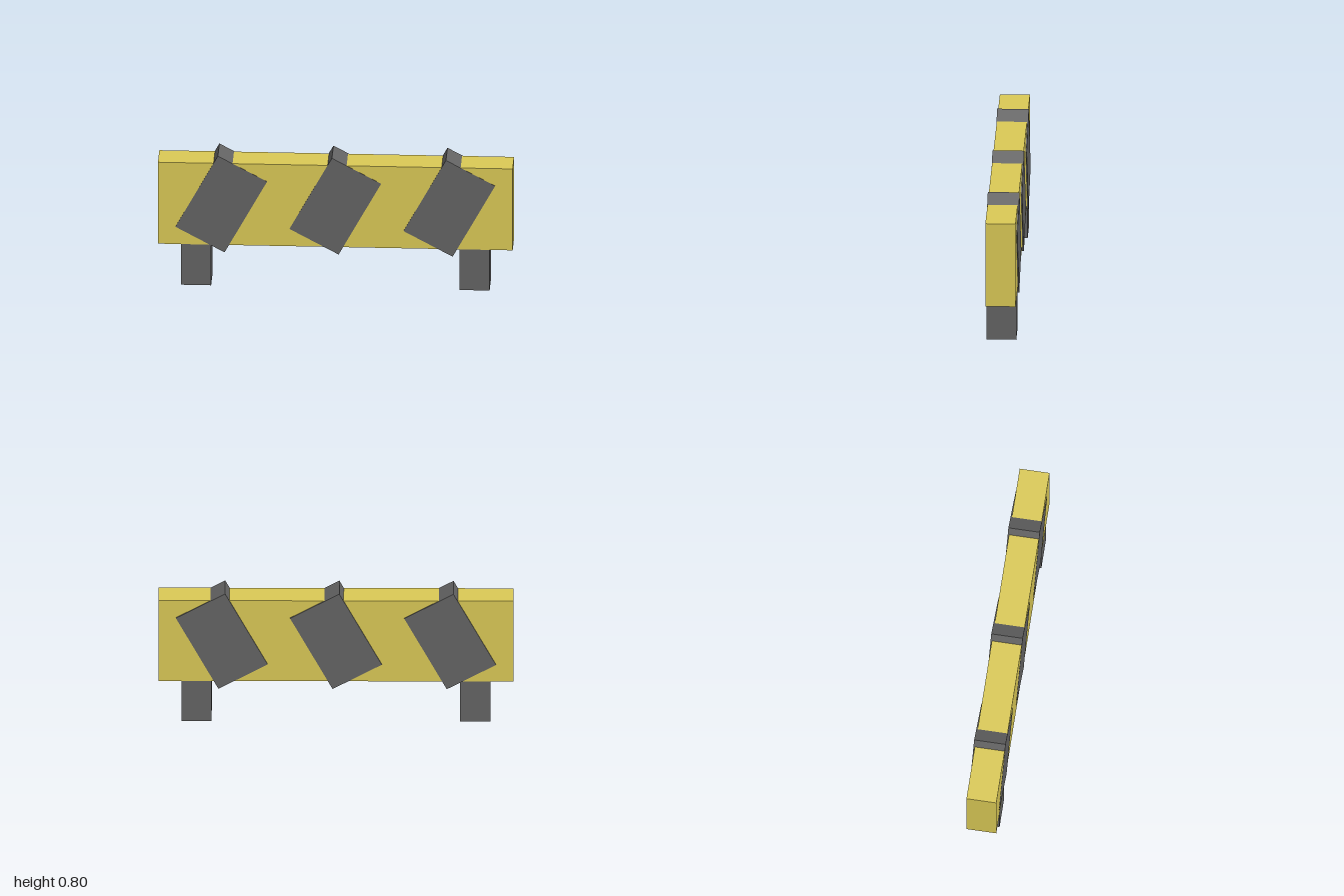
import * as THREE from 'three';

export function createModel() {
  const group = new THREE.Group();
  const yellow = new THREE.MeshStandardMaterial({ color: 0xdac956 });
  const dark = new THREE.MeshStandardMaterial({ color: 0x646464 });

  function addBox(name, material, size, position, tilt = 0) {
    const mesh = new THREE.Mesh(new THREE.BoxGeometry(...size), material);
    mesh.name = name;
    mesh.position.set(...position);
    mesh.rotation.z = tilt;
    group.add(mesh);
  }

  // Barrier board
  addBox('board', yellow, [2, 0.5, 0.17], [0, 0.5, 0.004]);

  // Legs, running up inside the board
  for (const [side, name] of [[1, 'leftLeg'], [-1, 'rightLeg']]) {
    addBox(name, dark, [0.17, 0.55, 0.168], [side * 0.785, 0.275, 0.004]);
  }

  // Slanted stripes pass through the board and stick out above, below and behind;
  // their front sits a hair proud of the board
  for (const x of [-0.643, 0, 0.643]) {
    addBox('stripe', dark, [0.316, 0.5, 0.179], [x, 0.5, 0.001], -0.5);
  }

  return group;
}
